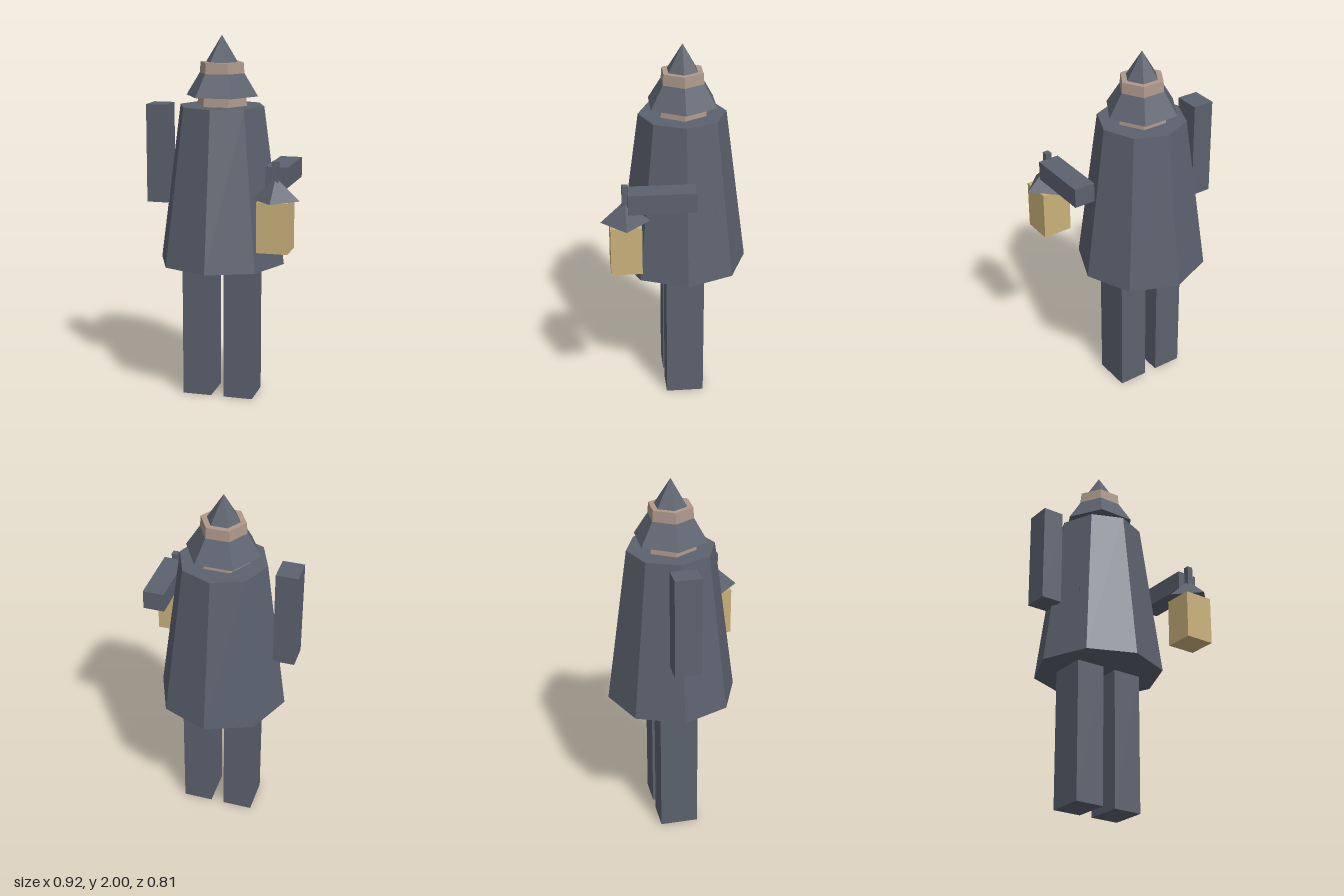
import * as THREE from 'three';

function flat(name, color) {
  const m = new THREE.MeshStandardMaterial({ color });
  m.name = name;
  m.flatShading = true;
  return m;
}

export function createModel() {
  const model = new THREE.Group();
  model.name = 'lanternBearer';
  const slate = flat('slate cloth', 0x5b616e);
  const skin = flat('skin', 0xae998b);
  const gold = flat('lantern glow', 0xcab17b);

  const add = (parent, name, geometry, material) => {
    const mesh = new THREE.Mesh(geometry, material);
    mesh.name = name;
    parent.add(mesh);
    return mesh;
  };
  // Box given by its limits on each axis
  const box = (parent, name, material, [x0, x1], [y0, y1], [z0, z1]) =>
    add(parent, name, new THREE.BoxGeometry(x1 - x0, y1 - y0, z1 - z0), material)
      .position.set((x0 + x1) / 2, (y0 + y1) / 2, (z0 + z1) / 2);
  // Faceted cone or frustum standing between two heights
  const frustum = (parent, name, material, rTop, rBottom, y0, y1, sides, x, z, turn = 0) => {
    const mesh = add(parent, name, rTop > 0
      ? new THREE.CylinderGeometry(rTop, rBottom, y1 - y0, sides)
      : new THREE.ConeGeometry(rBottom, y1 - y0, sides), material);
    mesh.position.set(x, (y0 + y1) / 2, z);
    mesh.rotation.y = turn;
  };

  const cx = -0.05, cz = -0.055;

  // Legs
  for (const [name, side] of [['rightLeg', -1], ['leftLeg', 1]]) {
    const x = cx + side * 0.118;
    box(model, name, slate, [x - 0.081, x + 0.081], [0, 0.78], [cz - 0.103, cz + 0.103]);
  }

  // Torso, whose upper corners just break through the coat
  box(model, 'torso', slate, [cx - 0.235, cx + 0.235], [0.78, 1.15], [cz - 0.162, cz + 0.162]);
  frustum(model, 'coat', slate, 0.235, 0.351, 0.763, 1.625, 8, cx, cz);

  // Head pokes through the pointed hood
  frustum(model, 'head', skin, 0.12, 0.14, 1.61, 1.857, 6, cx, cz, Math.PI / 6);
  frustum(model, 'hood', slate, 0, 0.2, 1.677, 2, 6, cx, cz, Math.PI / 6);

  // Arms: one hanging, one held forward
  box(model, 'rightArm', slate, [-0.46, -0.343], [1.085, 1.625], [-0.125, 0.015]);
  box(model, 'leftArm', slate, [0.27, 0.387], [1.248, 1.355], [-0.088, 0.263]);

  // Lantern
  const lantern = new THREE.Group();
  lantern.name = 'lantern';
  lantern.position.set(0.328, 0, 0.276);
  model.add(lantern);
  box(lantern, 'lanternBody', gold, [-0.082, 0.082], [0.92, 1.185], [-0.081, 0.081]);
  frustum(lantern, 'lanternRoof', slate, 0, 0.128, 1.185, 1.305, 4, 0, 0);
  box(lantern, 'lanternHandle', slate, [-0.0165, 0.0165], [1.25, 1.387], [-0.0165, 0.0165]);

  return model;
}
